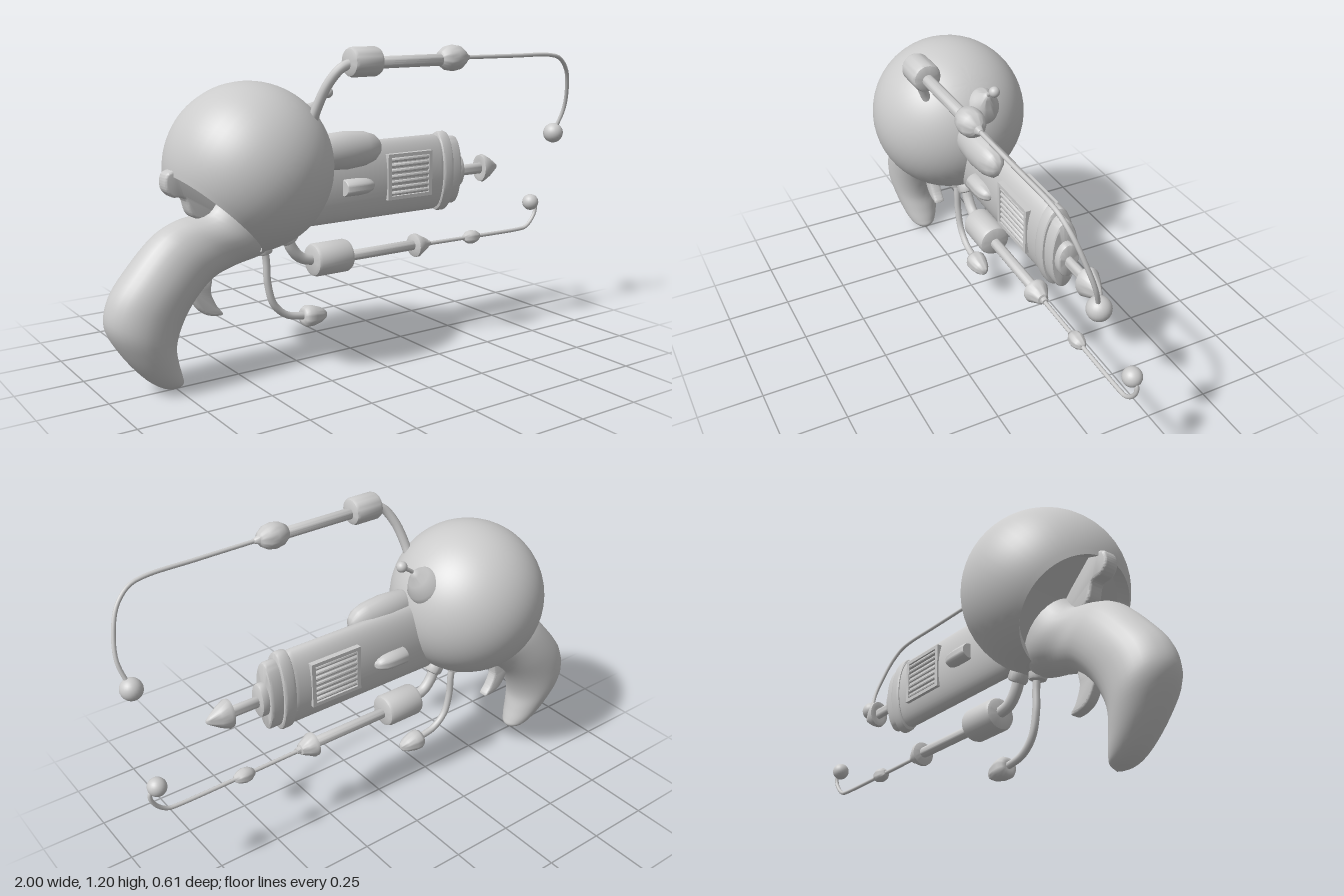
import * as THREE from 'three';
import { toCreasedNormals } from 'three/addons/utils/BufferGeometryUtils.js';

const mat = new THREE.MeshStandardMaterial({ color: 0xcccccc });
const V = (x, y, z = 0) => new THREE.Vector3(x, y, z);

export function createModel() {
  const model = new THREE.Group();

  function add(name, geo, pos = [0, 0, 0], parent = model) {
    const mesh = new THREE.Mesh(geo, mat);
    mesh.name = name;
    mesh.position.set(...pos);
    parent.add(mesh);
    return mesh;
  }

  // Turned part along +x; profile is [x, radius] pairs, sy and sz squash the section
  function turned(profile, sy = 1, sz = 1, segs = 32, crease = 0.6) {
    const geo = new THREE.LatheGeometry(profile.map(([x, r]) => new THREE.Vector2(r, x)), segs);
    geo.rotateZ(-Math.PI / 2).scale(1, sy, sz);
    return toCreasedNormals(geo, crease);
  }

  // Cylinder profile with rounded ends
  const drum = (x0, x1, r, b) => [
    [x0, 0], [x0, r - b], [x0 + b * 0.3, r - b * 0.3], [x0 + b, r],
    [x1 - b, r], [x1 - b * 0.3, r - b * 0.3], [x1, r - b], [x1, 0]];

  function tube(name, points, r, parent) {
    const path = new THREE.CatmullRomCurve3(points, false, 'centripetal');
    return add(name, new THREE.TubeGeometry(path, 48, r, 10), [0, 0, 0], parent);
  }

  const ball = (name, r, pos, parent) => add(name, new THREE.SphereGeometry(r, 24, 16), pos, parent);

  // Flat curved plate from an outline of [x, y] points
  function plate(name, outline, width) {
    const shape = new THREE.Shape();
    shape.moveTo(...outline[0]);
    shape.splineThru([...outline.slice(1), outline[0]].map(p => new THREE.Vector2(...p)));
    const b = 0.01;
    const geo = new THREE.ExtrudeGeometry(shape, {
      depth: width - 2 * b, bevelSize: b, bevelThickness: b, bevelOffset: -b, bevelSegments: 3, curveSegments: 30 });
    return add(name, toCreasedNormals(geo.translate(0, 0, b - width / 2), 0.7));
  }

  // Spherical body, sliced at the lower back with a recessed face
  const R = 0.307, profile = [[-0.16, 0], [-0.17, 0.195], [-0.2, 0.21]];
  const start = Math.acos(0.215 / R);
  for (let i = 0; i <= 32; i++) {
    const a = start + (Math.PI - start) * i / 32;
    profile.push([-R * Math.cos(a), Math.max(0, R * Math.sin(a))]);
  }
  add('body', turned(profile, 1, 1, 48), [-0.44, 0.775, 0]).rotation.z = 0.8;

  // Grip: oval sections between back edge and front edge [bx, by, fx, fy, half width]
  const sections = [
    [-0.56, 0.72, -0.36, 0.5, 0.115], [-0.62, 0.635, -0.4, 0.455, 0.11],
    [-0.72, 0.612, -0.51, 0.425, 0.095], [-0.8, 0.575, -0.6, 0.395, 0.105],
    [-0.91, 0.465, -0.67, 0.335, 0.115], [-0.983, 0.365, -0.725, 0.25, 0.115],
    [-1, 0.275, -0.75, 0.17, 0.11], [-0.95, 0.17, -0.742, 0.105, 0.092],
    [-0.86, 0.06, -0.728, 0.05, 0.065], [-0.805, 0.02, -0.724, 0.026, 0.042],
    [-0.757, 0.004, -0.74, 0.006, 0.004]];
  const back = new THREE.CatmullRomCurve3(sections.map(s => V(s[0], s[1], s[4])));
  const front = new THREE.CatmullRomCurve3(sections.map(s => V(s[2], s[3], 0)));
  const rows = 50, cols = 28, pos = [], idx = [];
  for (let i = 0; i <= rows; i++) {
    const b = back.getPoint(i / rows), f = front.getPoint(i / rows);
    for (let j = 0; j < cols; j++) {
      const a = j / cols * Math.PI * 2, c = (1 + Math.cos(a)) / 2;
      pos.push(f.x + (b.x - f.x) * c, f.y + (b.y - f.y) * c, b.z * Math.sin(a));
      if (i === rows) continue;
      const p = i * cols + j, q = i * cols + (j + 1) % cols;
      idx.push(p, p + cols, q, q, p + cols, q + cols);
    }
  }
  const gripGeo = new THREE.BufferGeometry();
  gripGeo.setAttribute('position', new THREE.Float32BufferAttribute(pos, 3));
  gripGeo.setIndex(idx);
  gripGeo.computeVertexNormals();
  add('grip', gripGeo);

  // Claw-shaped trigger and curled hammer
  plate('trigger', [[-0.7, 0.36], [-0.66, 0.285], [-0.62, 0.255], [-0.565, 0.25],
    [-0.59, 0.29], [-0.61, 0.34], [-0.61, 0.4]], 0.045);
  plate('hammer', [[-0.7, 0.8], [-0.765, 0.785], [-0.775, 0.735], [-0.75, 0.702],
    [-0.705, 0.69], [-0.67, 0.62], [-0.54, 0.6], [-0.6, 0.72]], 0.06);

  // Oval barrel with stepped muzzle rings
  const barrelY = 0.677;
  add('barrel', turned(drum(-0.26, 0.43, 0.153, 0.03), 1, 0.39, 48), [0, barrelY, 0]);
  add('muzzleRing', turned(drum(0.415, 0.465, 0.163, 0.012), 1, 0.4, 48), [0, barrelY, 0]);
  add('muzzleCap', turned(drum(0.45, 0.515, 0.14, 0.012), 1, 0.38, 48), [0, barrelY, 0]);
  add('nozzle', turned(drum(0.5, 0.543, 0.068, 0.01), 1, 0.6), [0, 0.67, 0]);
  add('nozzleRod', turned(drum(0.53, 0.68, 0.023, 0.003), 1, 0.7, 20), [0, 0.667, 0]);
  add('nozzleTip', turned([[0.665, 0], [0.652, 0.035], [0.655, 0.055], [0.668, 0.058],
    [0.7, 0.042], [0.735, 0.018], [0.748, 0.008], [0.752, 0]], 1, 0.76, 28, 0.9), [0, 0.667, 0]);

  // Vents and side pills on both flanks
  for (const [side, s] of [['left', 1], ['right', -1]]) {
    const vent = new THREE.Group();
    vent.name = side + 'Vent';
    model.add(vent);
    for (const k of [-1, 1]) {
      add('ventRail', new THREE.BoxGeometry(0.215, 0.014, 0.03), [0.242, 0.687 + k * 0.083, s * 0.051], vent);
      add('ventPost', new THREE.BoxGeometry(0.016, 0.18, 0.03), [0.242 + k * 0.1, 0.687, s * 0.051], vent);
    }
    for (let i = 0; i < 7; i++) {
      add('ventSlat', turned(drum(0.145, 0.34, 0.009, 0.002), 1, 1, 10),
        [0, 0.687 + (i - 3) * 0.022, s * 0.056], vent);
    }
    add(side + 'Pill', turned([[-0.073, 0], [-0.073, 0.03], [-0.068, 0.033], [0, 0.033], [0.03, 0.03],
      [0.052, 0.022], [0.064, 0.012], [0.068, 0]], 1, 1.2, 24, 0.9), [0, 0.667, s * 0.06]);
  }

  // Rounded pod on the upper flank
  add('pod', turned([[-0.2, 0], [-0.19, 0.05], [-0.14, 0.068], [-0.05, 0.073], [0.03, 0.066], [0.075, 0.051],
    [0.098, 0.03], [0.106, 0]], 1, 0.78, 32, 1.2), [0, 0.808, 0.045]);

  // Teardrop nub with a small ball on a stem
  const nub = add('nub', turned([[-0.09, 0], [-0.07, 0.06], [-0.03, 0.08], [0.01, 0.074], [0.05, 0.045],
    [0.075, 0.02], [0.095, 0.008], [0.1, 0]], 1, 0.92, 28, 1.2), [-0.195, 0.915, -0.03]);
  nub.rotation.z = 0.85;
  tube('nubStem', [V(-0.145, 0.975, -0.03), V(-0.12, 0.995, -0.03), V(-0.083, 1.02, -0.03)], 0.008);
  ball('nubBall', 0.021, [-0.083, 1.02, -0.03]);

  // Upper arm with a long drooping wire
  const upper = new THREE.Group();
  upper.name = 'upperArm';
  model.add(upper);
  const uy = 1.15, uz = 0.245;
  tube('upperElbow', [V(-0.27, 0.93, 0.155), V(-0.265, 0.98, 0.175), V(-0.24, 1.07, 0.21),
    V(-0.2, 1.13, 0.237), V(-0.15, uy, uz)], 0.018, upper);
  add('upperDrum', turned(drum(-0.175, -0.05, 0.053, 0.016)), [0, uy, uz], upper);
  add('upperRod', turned(drum(-0.06, 0.25, 0.022, 0.003), 1, 1, 20), [0, uy - 0.005, uz], upper);
  add('upperBulb', turned([[0.23, 0], [0.235, 0.028], [0.26, 0.044], [0.29, 0.049], [0.32, 0.044],
    [0.345, 0.028], [0.35, 0.016], [0.37, 0.01], [0.375, 0]], 1, 1, 28, 0.9), [0, uy, uz], upper);
  tube('upperWire', [V(0.36, uy, uz), V(0.6, 1.148, 0.244), V(0.8, 1.145, 0.242), V(0.86, 1.13, 0.237),
    V(0.915, 1.08, 0.222), V(0.95, 1.0, 0.197), V(0.965, 0.91, 0.168), V(0.942, 0.81, 0.136)], 0.008, upper);
  ball('upperBall', 0.041, [0.942, 0.81, 0.136], upper);

  // Lower arm with a beaded wire curling upwards
  const lower = new THREE.Group();
  lower.name = 'lowerArm';
  model.add(lower);
  add('lowerCollar', turned(drum(-0.03, 0.03, 0.037, 0.012)), [-0.285, 0.505, 0], lower).rotation.z = -1;
  tube('lowerElbow', [V(-0.29, 0.51), V(-0.265, 0.45), V(-0.225, 0.408), V(-0.16, 0.392)], 0.022, lower);
  add('lowerDrum', turned(drum(-0.18, -0.015, 0.064, 0.016)), [0, 0.39, 0], lower);
  add('lowerRod', turned(drum(-0.03, 0.32, 0.021, 0.003), 1, 1, 20), [0, 0.383, 0], lower);
  add('lowerCone', turned([[0.305, 0], [0.305, 0.03], [0.312, 0.047], [0.325, 0.048], [0.35, 0.034],
    [0.375, 0.022], [0.378, 0.014], [0.392, 0.012], [0.395, 0]], 1, 1, 28, 0.7), [0, 0.38, 0], lower);
  tube('lowerWire', [V(0.38, 0.378), V(0.62, 0.375), V(0.9, 0.374), V(0.93, 0.378), V(0.965, 0.405),
    V(0.988, 0.445), V(0.985, 0.475), V(0.958, 0.487)], 0.008, lower);
  add('wireBead', turned([[0.575, 0], [0.582, 0.014], [0.6, 0.026], [0.622, 0.029], [0.645, 0.023],
    [0.66, 0.013], [0.668, 0]], 1, 1, 24, 1.2), [0, 0.375, 0], lower);
  ball('lowerBall', 0.035, [0.958, 0.487, 0], lower);

  // Bent prong with an acorn-shaped end under the body
  add('prongCollar', turned(drum(-0.03, 0.03, 0.034, 0.012)), [-0.388, 0.475, 0]).rotation.z = -1.4;
  tube('prong', [V(-0.385, 0.48), V(-0.375, 0.42), V(-0.37, 0.33), V(-0.345, 0.245), V(-0.29, 0.195),
    V(-0.2, 0.175)], 0.014);
  add('prongEnd', turned([[-0.045, 0], [-0.055, 0.018], [-0.05, 0.034], [-0.035, 0.042], [-0.01, 0.04],
    [0.025, 0.03], [0.048, 0.016], [0.057, 0]], 1, 1, 28, 1.2), [-0.167, 0.171, 0]).rotation.z = -0.08;

  return model;
}
